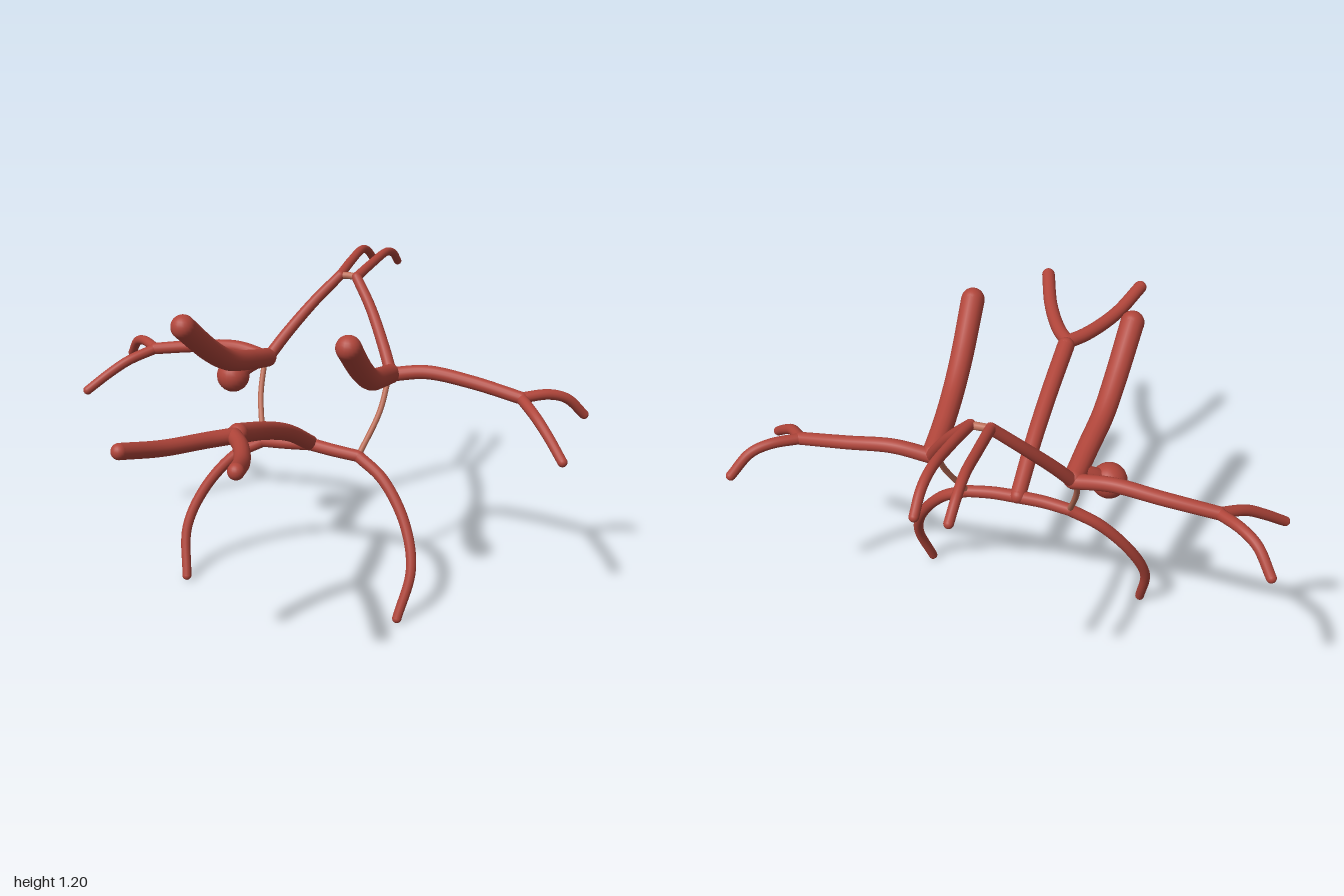
import * as THREE from 'three';

const artery = new THREE.MeshStandardMaterial({ color: 0xb0453a });
artery.name = 'artery red';
const thin = new THREE.MeshStandardMaterial({ color: 0xbd6f58 });
thin.name = 'pale communicating red';

// Rounded end or junction
function ball(name, p, r, material = artery) {
  const mesh = new THREE.Mesh(new THREE.SphereGeometry(r, 20, 14), material);
  mesh.position.set(...p);
  mesh.name = name;
  return mesh;
}

// Tapered vessel through the points, with rounded ends
function vessel(name, points, r0, r1 = r0, material = artery) {
  const group = new THREE.Group();
  group.name = name;
  const curve = new THREE.CatmullRomCurve3(points.map((p) => new THREE.Vector3(...p)));
  const rings = 36, sides = 16;
  const geo = new THREE.TubeGeometry(curve, rings, 1, sides, false);
  const pos = geo.attributes.position;
  const v = new THREE.Vector3();
  for (let i = 0; i <= rings; i++) {
    const centre = curve.getPointAt(i / rings);
    const r = r0 + (r1 - r0) * i / rings;
    for (let j = 0; j <= sides; j++) {
      const k = i * (sides + 1) + j;
      v.fromBufferAttribute(pos, k).sub(centre).multiplyScalar(r).add(centre);
      pos.setXYZ(k, v.x, v.y, v.z);
    }
  }
  const tube = new THREE.Mesh(geo, material);
  tube.name = name + 'Tube';
  group.add(tube);
  group.add(ball(name + 'Start', points[0], r0, material));
  group.add(ball(name + 'End', points[points.length - 1], r1, material));
  return group;
}

// Vessels that occur on both sides, given for the left (+x)
const paired = [
  ['vertebralArtery', [[0, 0.87, 0.56], [0.06, 0.875, 0.64], [0.14, 0.895, 0.8], [0.2, 0.94, 0.97]], 0.028, 0.027],
  ['carotidArtery', [[0.31, 1.14, 0.31], [0.295, 1.0, 0.13], [0.285, 0.925, 0.0], [0.27, 0.88, -0.15], [0.26, 0.845, -0.3]], 0.045, 0.038],
  ['middleArtery', [[0.26, 0.84, -0.31], [0.4, 0.863, -0.322], [0.58, 0.845, -0.325], [0.77, 0.815, -0.31]], 0.028, 0.024],
  ['middleRearBranch', [[0.77, 0.815, -0.31], [0.86, 0.818, -0.38], [0.92, 0.795, -0.425], [0.98, 0.72, -0.48]], 0.021, 0.018],
  ['middleFrontBranch', [[0.77, 0.815, -0.31], [0.85, 0.78, -0.22], [0.91, 0.735, -0.165], [0.98, 0.672, -0.1]], 0.021, 0.018],
  ['anteriorArtery', [[0.26, 0.84, -0.31], [0.205, 0.93, -0.37], [0.12, 1.05, -0.455], [0.035, 1.15, -0.52]], 0.024, 0.02],
  ['anteriorRearBranch', [[0.035, 1.15, -0.52], [0.046, 1.172, -0.68], [0.054, 1.183, -0.83], [0.057, 1.16, -0.91], [0.055, 1.11, -0.98]], 0.019, 0.016],
  ['posteriorArtery', [[0, 0.58, -0.12], [0.1, 0.572, -0.113], [0.2, 0.562, -0.118]], 0.025, 0.023],
  ['posteriorLowerBranch', [[0.2, 0.562, -0.118], [0.31, 0.495, -0.09], [0.42, 0.355, -0.035], [0.472, 0.2, 0.03], [0.445, 0.02, 0.1]], 0.023, 0.018],
  ['posteriorCommunicating', [[0.26, 0.84, -0.28], [0.25, 0.72, -0.215], [0.2, 0.562, -0.118]], 0.011, 0.011, thin],
];

export function createModel() {
  const model = new THREE.Group();
  model.name = 'arterialRing';

  for (const side of [1, -1]) {
    const prefix = side > 0 ? 'left_' : 'right_';
    for (const [name, points, ...rest] of paired) {
      model.add(vessel(prefix + name, points.map(([x, y, z]) => [x * side, y, z]), ...rest));
    }
  }

  // Central trunk and front bridge
  model.add(vessel('basilarTrunk', [[0, 0.868, 0.53], [0, 0.792, 0.3], [0, 0.705, 0.09], [0, 0.585, -0.12]], 0.035, 0.03));
  model.add(vessel('anteriorCommunicating', [[-0.035, 1.15, -0.52], [0, 1.152, -0.523], [0.035, 1.15, -0.52]], 0.014, 0.014, thin));

  // Bulge on the right side with its neck
  model.add(vessel('bulgeNeck', [[-0.265, 0.85, -0.26], [-0.31, 0.825, -0.235], [-0.35, 0.795, -0.205]], 0.028, 0.032));
  model.add(ball('bulge', [-0.362, 0.788, -0.198], 0.065));
  return model;
}
